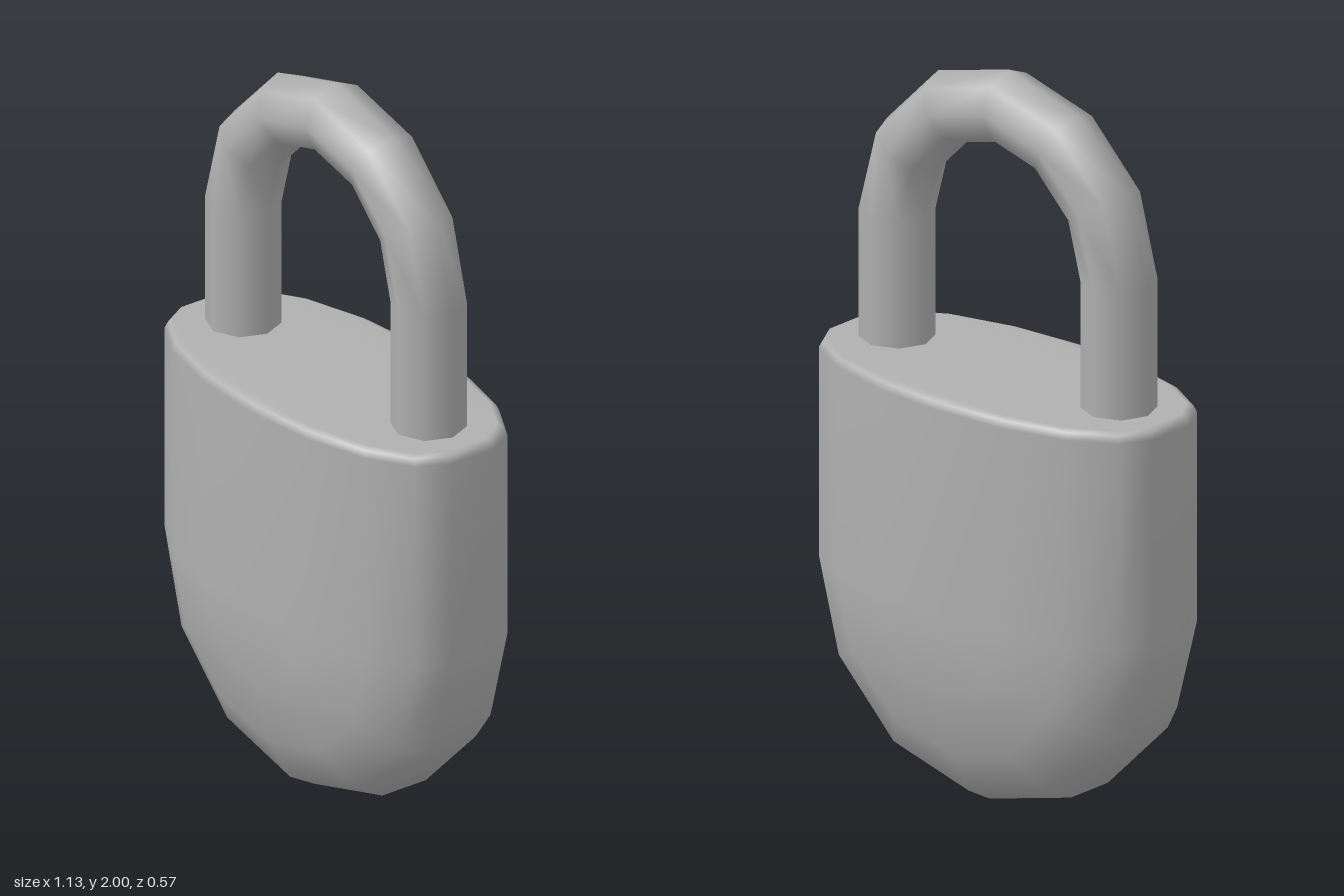
import * as THREE from 'three';
import { mergeVertices } from 'three/addons/utils/BufferGeometryUtils.js';

const BEND_Y = 0.565; // height where the straight walls meet the round bottom

// Half outline of the body as [distance from centre, z], front to back.
const front = [[0, 0.285], [0.213, 0.27], [0.4, 0.222], [0.52, 0.152], [0.565, 0.072]];
const outline = [...front, ...front.slice().reverse().map(([r, z]) => [r, -z])];

// Sweeps the half outline down one wall, around the bottom, up the other wall and across the top.
function bodyGeometry() {
  const rim = [[0.6, 0.025], [0.593, 0.009], [0.575, 0]]; // [height above bend, inset]
  const rows = rim.map(([h, inset]) => ({ angle: 0, h, inset }));
  for (let i = 0; i <= 6; i++) rows.push({ angle: (i * Math.PI) / 6, h: 0, inset: 0 });
  rim.slice().reverse().forEach(([h, inset]) => rows.push({ angle: Math.PI, h, inset }));

  const positions = [];
  const index = [];
  const n = outline.length;
  rows.forEach(({ angle, h, inset }, i) => {
    const next = (i + 1) % rows.length;
    outline.forEach(([r, z], k) => {
      const radius = r * (1 - inset / 0.565);
      positions.push(
        radius * Math.cos(angle),
        BEND_Y + h - radius * Math.sin(angle),
        z * (1 - inset / 0.285)
      );
      if (k === n - 1) return;
      const a = i * n + k;
      const b = next * n + k;
      index.push(a, b, a + 1, b, b + 1, a + 1);
    });
  });

  const geometry = new THREE.BufferGeometry();
  geometry.setAttribute('position', new THREE.Float32BufferAttribute(positions, 3));
  geometry.setIndex(index);
  const merged = mergeVertices(geometry, 1e-4);
  merged.computeVertexNormals();
  return merged;
}

export function createModel() {
  const model = new THREE.Group();
  model.name = 'padlock';
  const metal = new THREE.MeshStandardMaterial({ color: 0xb0b0b0 });
  metal.name = 'grey metal';

  const body = new THREE.Mesh(bodyGeometry(), metal);
  body.name = 'body';
  model.add(body);

  // Shackle: half ring on two straight legs that sink into the body.
  const shackle = new THREE.Group();
  shackle.name = 'shackle';
  const archY = 1.515;
  const legBottom = 1.12;
  const arch = new THREE.Mesh(new THREE.TorusGeometry(0.385, 0.1, 8, 6, Math.PI), metal);
  arch.name = 'shackleArch';
  arch.position.y = archY;
  shackle.add(arch);
  for (const side of [1, -1]) {
    const leg = new THREE.Mesh(
      new THREE.CylinderGeometry(0.1, 0.1, archY - legBottom, 8),
      metal
    );
    leg.name = side > 0 ? 'leftShackleLeg' : 'rightShackleLeg';
    leg.position.set(side * 0.385, (archY + legBottom) / 2, 0);
    shackle.add(leg);
  }
  model.add(shackle);
  return model;
}
